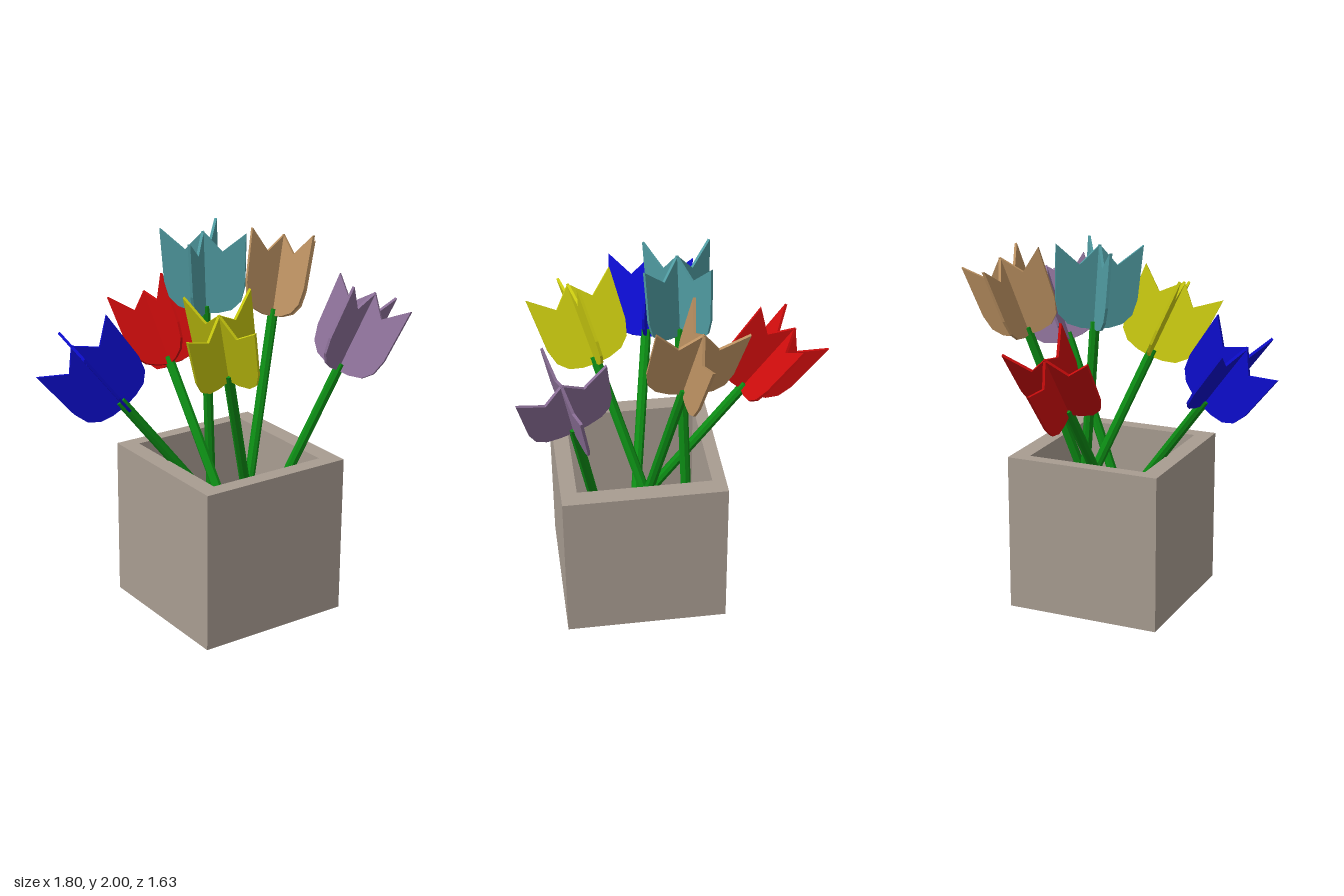
import * as THREE from 'three';

const mat = (color) => new THREE.MeshStandardMaterial({ color, flatShading: true, side: THREE.DoubleSide });

function named(geometry, material, name) {
  const mesh = new THREE.Mesh(geometry, material);
  mesh.name = name;
  return mesh;
}

// Tulip outline; the origin is the middle tip, the bloom hangs down from it
function bloomGeometry() {
  const half = [[0.1, -0.105], [0.23, 0], [0.217, -0.283], [0.194, -0.365], [0.145, -0.413], [0.075, -0.434]];
  const mirrored = half.map(([x, y]) => [-x, y]).reverse();
  const points = [[0, 0], ...half, [0, -0.44], ...mirrored].map(([x, y]) => new THREE.Vector2(x, y));
  const depth = 0.014;
  return new THREE.ExtrudeGeometry(new THREE.Shape(points), { depth, bevelEnabled: false }).translate(0, 0, -depth / 2);
}

// tip: top centre of the bloom, foot: bottom of the stem, across: direction of one petal plate
const FLOWERS = [
  { name: 'red', color: 0xcc0c0c, tip: [0.085, 1.523, -0.634], foot: [0.085, 0.07, 0.5], across: [1, 0, 0] },
  { name: 'blue', color: 0x0c0ccc, tip: [-0.73, 1.523, -0.005], foot: [0.371, 0.07, 0.268], across: [0.241, 0, -0.971] },
  { name: 'teal', color: 0x4f9aa0, tip: [0.065, 1.985, -0.03], foot: [0.18, 0.08, -0.085], across: [0.78, 0, -0.62] },
  { name: 'yellow', color: 0xcccc10, tip: [-0.194, 1.714, 0.49], foot: [0.4, 0.15, 0], across: [0.413, 0.19, -0.07] },
  { name: 'tan', color: 0xb98f60, tip: [0.618, 1.882, -0.076], foot: [0.075, 0.09, 0.26], across: [0.435, -0.132, -0.025] },
  { name: 'purple', color: 0x8c7098, tip: [0.69, 1.711, 0.598], foot: [-0.035, 0.09, 0.337], across: [0.415, -0.164, -0.146] },
];

function createFlower({ name, color, tip, foot, across }, bloom, stemMaterial) {
  const flower = new THREE.Group();
  flower.name = name + 'Tulip';
  const top = new THREE.Vector3(...tip);
  const axis = top.clone().sub(new THREE.Vector3(...foot));
  const length = axis.length();
  axis.normalize();
  const side = new THREE.Vector3(...across);
  side.addScaledVector(axis, -side.dot(axis)).normalize();
  const basis = new THREE.Matrix4().makeBasis(side, axis, side.clone().cross(axis));
  flower.quaternion.setFromRotationMatrix(basis);
  flower.position.copy(top);

  // Two crossed petal plates
  const material = mat(color);
  for (let i = 0; i < 2; i++) {
    const plate = named(bloom, material, 'petals');
    plate.rotation.y = i * Math.PI / 2;
    flower.add(plate);
  }

  // Stem from the foot up into the bloom
  const stemLength = length - 0.4;
  const stem = named(new THREE.CylinderGeometry(0.027, 0.027, stemLength, 8), stemMaterial, 'stem');
  stem.position.y = -0.4 - stemLength / 2;
  flower.add(stem);
  return flower;
}

function createPlanter() {
  const planter = new THREE.Group();
  planter.name = 'planter';
  const material = mat(0xa89c91);
  const rect = (Type, x0, x1, z0, z1) =>
    new Type([[x0, -z0], [x1, -z0], [x1, -z1], [x0, -z1]].map(([x, y]) => new THREE.Vector2(x, y)));

  // Square walls around an open well
  const outline = rect(THREE.Shape, -0.34, 0.51, -0.235, 0.613);
  outline.holes.push(rect(THREE.Path, -0.247, 0.413, -0.165, 0.53));
  const walls = new THREE.ExtrudeGeometry(outline, { depth: 0.85, bevelEnabled: false }).rotateX(-Math.PI / 2);
  planter.add(named(walls, material, 'walls'));

  const floor = named(new THREE.BoxGeometry(0.66, 0.08, 0.695), material, 'floor');
  floor.position.set(0.083, 0.04, 0.1825);
  planter.add(floor);
  return planter;
}

export function createModel() {
  const model = new THREE.Group();
  model.name = 'tulipPlanter';
  model.add(createPlanter());
  const bloom = bloomGeometry();
  const green = mat(0x0c8c14);
  for (const spec of FLOWERS) model.add(createFlower(spec, bloom, green));
  return model;
}
